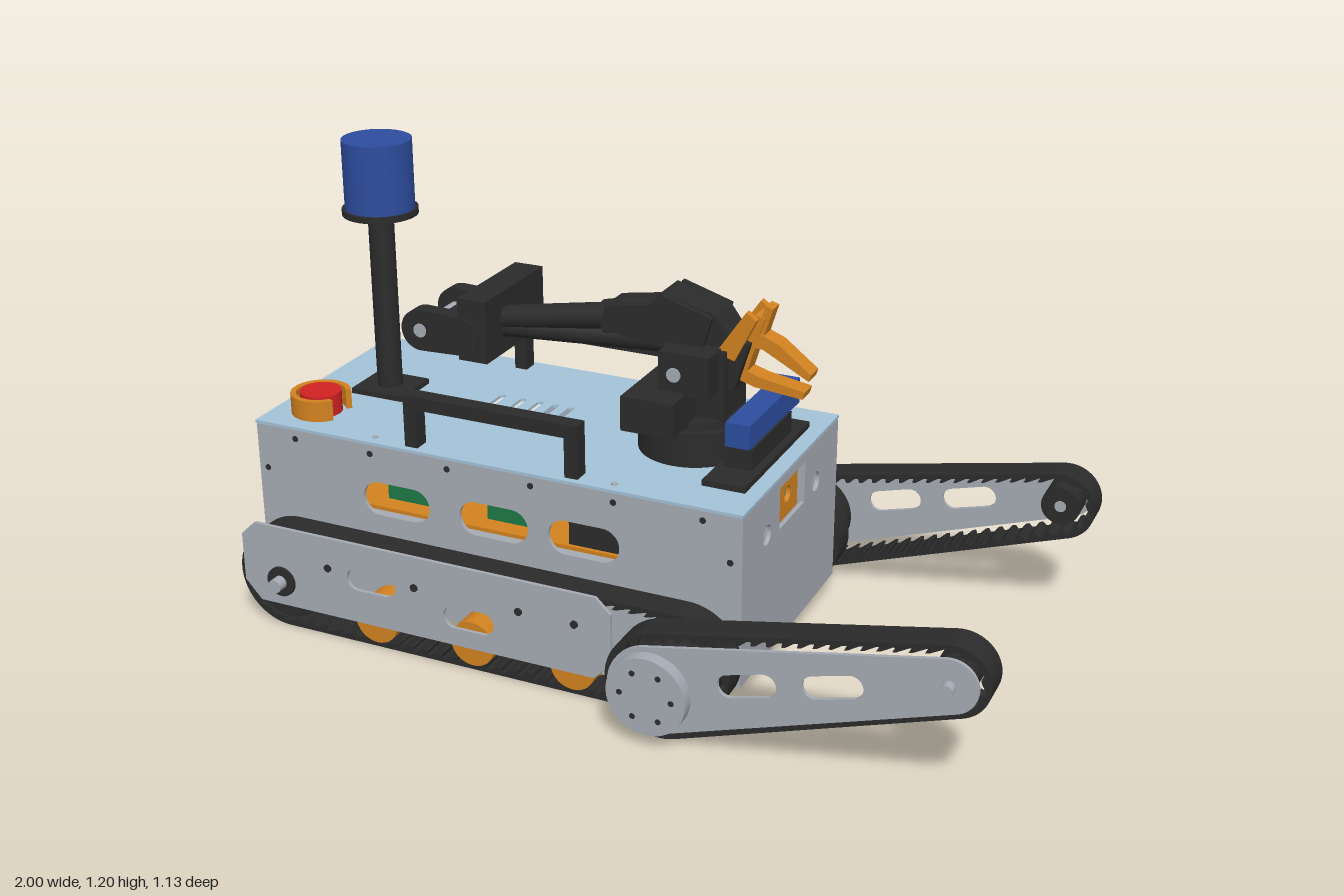
import * as THREE from 'three';

const colour = (name, hex) => {
  const m = new THREE.MeshStandardMaterial({ color: hex });
  m.name = name;
  return m;
};

export function createModel() {
  const grey = colour('grey metal', 0xa6aab3), lidBlue = colour('light blue lid', 0xa5c2d8);
  const black = colour('black', 0x2b2b2b), orange = colour('orange', 0xd28220);
  const blue = colour('blue', 0x2d4d9e), green = colour('circuit green', 0x1e7847);
  const red = colour('red', 0xd32222);
  const root = new THREE.Group();

  const add = (name, geo, mat, x = 0, y = 0, z = 0, parent = root) => {
    const m = new THREE.Mesh(geo, mat);
    m.name = name;
    m.position.set(x, y, z);
    parent.add(m);
    return m;
  };
  // Box given by its limits on each axis
  const box = (name, mat, x0, x1, y0, y1, z0, z1, parent = root) =>
    add(name, new THREE.BoxGeometry(x1 - x0, y1 - y0, z1 - z0), mat,
      (x0 + x1) / 2, (y0 + y1) / 2, (z0 + z1) / 2, parent);
  // Upright cylinder, and cylinder along z
  const post = (name, mat, r, x, y0, y1, z) =>
    add(name, new THREE.CylinderGeometry(r, r, y1 - y0, 40), mat, x, (y0 + y1) / 2, z);
  const axle = (name, mat, r, x, y, z0, z1, parent = root) =>
    add(name, new THREE.CylinderGeometry(r, r, Math.abs(z1 - z0), 32).rotateX(Math.PI / 2), mat, x, y, (z0 + z1) / 2, parent);
  const extrude = (shape, depth) =>
    new THREE.ExtrudeGeometry(shape, { depth, bevelEnabled: false, curveSegments: 16 });
  const poly = pts => new THREE.Shape(pts.map(p => new THREE.Vector2(...p)));
  const rect = (x, y, w, h) => poly([[x - w / 2, y - h / 2], [x + w / 2, y - h / 2], [x + w / 2, y + h / 2], [x - w / 2, y + h / 2]]);
  const disc = (x, y, r) => { const p = new THREE.Path(); p.absarc(x, y, r, 0, Math.PI * 2); return p; };
  const slot = (x, y, w, h, tilt = 0) => {
    const p = new THREE.Path(), r = h / 2, d = w / 2 - r;
    const cx = Math.cos(tilt) * d, cy = Math.sin(tilt) * d;
    p.absarc(x + cx, y + cy, r, tilt - Math.PI / 2, tilt + Math.PI / 2);
    p.absarc(x - cx, y - cy, r, tilt + Math.PI / 2, tilt + Math.PI * 1.5);
    p.closePath();
    return p;
  };
  // Outline wrapped round two wheels a and b given as [x, y, r], grown by g
  const wrap = (a, b, g = 0) => {
    const dx = b[0] - a[0], dy = b[1] - a[1], t = Math.atan2(dy, dx);
    const k = Math.acos((a[2] - b[2]) / Math.hypot(dx, dy)), s = new THREE.Shape();
    s.absarc(b[0], b[1], b[2] + g, t - k, t + k);
    s.absarc(a[0], a[1], a[2] + g, t + k, t - k + Math.PI * 2);
    s.closePath();
    return s;
  };
  // Belt ring with teeth on the inside
  const belt = (a, b, teeth, width) => {
    const s = wrap(a, b), n = teeth * 4;
    const high = wrap(a, b, -0.011).getSpacedPoints(n), low = wrap(a, b, -0.022).getSpacedPoints(n);
    const ring = [];
    for (let i = 0; i < n; i++) ring.push((i % 4 < 2 ? high : low)[i]);
    s.holes.push(new THREE.Path(ring));
    return extrude(s, width);
  };
  const mirrored = (name, geo, mat, s, z0, depth) => add(name, geo, mat, 0, 0, s > 0 ? z0 : -z0 - depth);

  // Hull: sheet-metal panels with openings
  box('hullFloor', grey, -0.98, 0.34, 0.062, 0.072, -0.315, 0.315);
  for (const s of [1, -1]) {
    const side = rect(-0.318, 0.287, 1.334, 0.45);
    for (const x of [-0.58, -0.305, -0.06]) side.holes.push(slot(x, 0.365, 0.19, 0.09));
    mirrored('hullSide', extrude(side, 0.01), grey, s, 0.31, 0.01);
    for (const x of [-0.87, -0.65, -0.43, -0.2, 0.02, 0.25]) axle('rivet', black, 0.008, x, 0.485, s * 0.315, s * 0.322);
    for (const x of [-0.96, 0.32]) axle('rivet', black, 0.008, x, 0.39, s * 0.315, s * 0.322);
  }
  const front = rect(0, 0.287, 0.64, 0.45);
  front.holes.push(rect(0, 0.43, 0.17, 0.11), disc(-0.165, 0.397, 0.026), disc(0.165, 0.397, 0.026));
  add('frontPanel', extrude(front, 0.01).rotateY(Math.PI / 2), grey, 0.34);
  const rear = rect(0, 0.287, 0.64, 0.45);
  for (const [z, y, w, h] of [[-0.25, 0.36, 0.05, 0.05], [-0.11, 0.36, 0.07, 0.06], [0, 0.41, 0.08, 0.07], [0.15, 0.37, 0.06, 0.06]])
    rear.holes.push(rect(-z, y, w, h));
  add('rearPanel', extrude(rear, 0.01).rotateY(Math.PI / 2), grey, -0.985);
  const lid = rect(-0.318, 0, 1.338, 0.645), vents = [-0.49, -0.43, -0.38, -0.335, -0.29];
  for (const x of vents) lid.holes.push(slot(x, 0, 0.165, 0.017, Math.PI / 2));
  add('lid', extrude(lid, 0.008).rotateX(-Math.PI / 2), lidBlue, 0, 0.51);
  for (const x of [-0.65, 0.01]) for (const z of [-0.29, 0.29]) post('lidScrew', grey, 0.008, x, 0.517, 0.521, z);

  // Electronics inside the hull
  box('shelf', orange, -0.85, 0.15, 0.295, 0.305, -0.25, 0.25);
  box('circuitBoard', green, -0.68, -0.51, 0.305, 0.355, -0.2, 0.2);
  box('circuitBoard', green, -0.39, -0.23, 0.305, 0.4, -0.2, 0.2);
  box('ventBoard', green, -0.54, -0.25, 0.45, 0.46, -0.12, 0.12);
  box('battery', black, -0.14, 0.03, 0.305, 0.39, -0.24, 0.24);
  box('cameraBoard', green, 0.3, 0.32, 0.375, 0.4, -0.085, 0.085);
  const mount = rect(0, 0.43, 0.135, 0.11);
  mount.holes.push(disc(0, 0.432, 0.021));
  add('cameraMount', extrude(mount, 0.012).rotateY(Math.PI / 2), orange, 0.325);

  // Tracks and flippers on both sides
  const mainA = [-0.862, 0.138, 0.138], mainB = [0.222, 0.138, 0.138];
  const flipA = [0.222, 0.138, 0.136], flipB = [0.912, 0.322, 0.088];
  const tilt = Math.atan2(0.184, 0.69);
  for (const s of [1, -1]) {
    mirrored('trackBelt', belt(mainA, mainB, 70, 0.075), black, s, 0.338, 0.075);
    const plate = poly([[-0.975, 0.12], [-0.93, 0.07], [0.02, 0.07], [0.065, 0.115], [0.065, 0.25], [0.025, 0.288], [-0.935, 0.288], [-0.975, 0.25]]);
    plate.holes.push(slot(-0.595, 0.19, 0.14, 0.06), slot(-0.32, 0.147, 0.14, 0.06));
    mirrored('trackPlate', extrude(plate, 0.01), grey, s, 0.424, 0.01);
    for (const w of [mainA, mainB]) axle('trackPulley', black, 0.113, w[0], w[1], s * 0.34, s * 0.41);
    axle('rearHub', black, 0.04, mainA[0], mainA[1], s * 0.41, s * 0.442);
    axle('rearAxle', grey, 0.018, mainA[0], mainA[1], s * 0.31, s * 0.47);
    for (const x of [-0.595, -0.32, -0.045]) {
      axle('roadWheel', orange, 0.06, x, 0.075, s * 0.335, s * 0.42);
      axle('wheelBoss', orange, 0.025, x, 0.075, s * 0.318, s * 0.428);
    }
    for (const x of [-0.72, -0.47, -0.18, -0.03]) {
      axle('standoff', grey, 0.01, x, 0.21, s * 0.315, s * 0.425);
      axle('plateBolt', black, 0.01, x, 0.205, s * 0.43, s * 0.438);
    }

    mirrored('flipperBelt', belt(flipA, flipB, 54, 0.08), black, s, 0.43, 0.08);
    const arm = wrap([0.215, 0.138, 0.112], [0.912, 0.322, 0.066]);
    arm.holes.push(slot(0.45, 0.208, 0.145, 0.058, tilt), slot(0.652, 0.255, 0.145, 0.058, tilt));
    mirrored('flipperPlate', extrude(arm, 0.01), grey, s, 0.522, 0.01);
    axle('flipperPulley', black, 0.111, 0.222, 0.138, s * 0.432, s * 0.508);
    axle('flipperTipPulley', black, 0.05, 0.912, 0.322, s * 0.432, s * 0.508);
    axle('flipperAxle', grey, 0.03, 0.222, 0.138, s * 0.31, s * 0.53);
    axle('flipperHub', grey, 0.1, 0.215, 0.138, s * 0.53, s * 0.565);
    for (let i = 0; i < 6; i++)
      axle('hubBolt', black, 0.007, 0.215 + 0.065 * Math.cos(i * Math.PI / 3), 0.138 + 0.065 * Math.sin(i * Math.PI / 3), s * 0.56, s * 0.567);
    axle('flipperTipAxle', grey, 0.015, 0.912, 0.322, s * 0.43, s * 0.555);

    // Carrying handle
    const grip = poly([[-0.555, 0.517], [-0.52, 0.517], [-0.52, 0.62], [-0.115, 0.62], [-0.115, 0.517], [-0.08, 0.517], [-0.08, 0.655], [-0.555, 0.655]]);
    mirrored('handle', extrude(grip, 0.042), black, s, 0.264, 0.042);
  }

  // Scanner mast
  box('mastBase', black, -0.86, -0.71, 0.517, 0.532, -0.07, 0.07);
  post('mast', black, 0.033, -0.785, 0.53, 1, 0);
  post('scannerFlange', black, 0.097, -0.785, 1, 1.016, 0);
  post('scanner', blue, 0.089, -0.785, 1.016, 1.195, 0);

  // Stop button in an open collar
  const collar = new THREE.Shape();
  collar.absarc(0, 0, 0.077, 0.6, Math.PI * 2 - 0.6);
  collar.absarc(0, 0, 0.062, Math.PI * 2 - 0.6, 0.6, true);
  add('buttonCollar', extrude(collar, 0.055).rotateX(-Math.PI / 2), orange, -0.867, 0.517, 0.2);
  post('stopButton', red, 0.053, -0.867, 0.517, 0.575, 0.2);

  // Front sensor
  box('sensorBase', black, 0.2, 0.31, 0.517, 0.533, -0.217, 0.212);
  box('sensorStand', black, 0.215, 0.29, 0.533, 0.588, -0.14, 0.12);
  box('sensor', blue, 0.222, 0.285, 0.588, 0.65, -0.135, 0.125);
  box('sensorEnd', blue, 0.22, 0.287, 0.588, 0.655, -0.2, -0.135);

  // Arm: turntable, shoulder, link and elbow
  post('turntable', black, 0.14, 0.09, 0.517, 0.605, 0);
  post('turntableTop', black, 0.12, 0.09, 0.605, 0.625, 0);
  box('shoulderMotor', black, -0.015, 0.122, 0.618, 0.706, -0.208, 0.205);
  box('shoulderBlock', black, 0.04, 0.195, 0.62, 0.8, -0.07, 0.07);
  box('shoulderSide', black, 0.05, 0.18, 0.7, 0.805, -0.12, 0.13);
  axle('shoulderCap', grey, 0.018, 0.09, 0.75, -0.124, 0.134);
  const strut = (name, r0, r1, x0, y0, x1, y1) => {
    const m = add(name, new THREE.CylinderGeometry(r1, r0, Math.hypot(x1 - x0, y1 - y0), 32), black, (x0 + x1) / 2, (y0 + y1) / 2);
    m.rotation.z = Math.atan2(y1 - y0, x1 - x0) - Math.PI / 2;
  };
  strut('lowerLink', 0.024, 0.03, -0.45, 0.745, 0.06, 0.785);
  strut('upperLink', 0.03, 0.034, -0.45, 0.77, -0.12, 0.825);
  strut('linkSleeve', 0.042, 0.05, -0.15, 0.818, 0.02, 0.85);
  box('elbowMotor', black, -0.51, -0.43, 0.682, 0.845, -0.2, 0.105);
  const fork = wrap([-0.617, 0.745, 0.054], [-0.5, 0.745, 0.05]);
  for (const z of [-0.115, 0.065]) add('elbowFork', extrude(fork, 0.045), black, 0, 0, z);
  box('elbowBridge', black, -0.58, -0.5, 0.71, 0.78, -0.07, 0.07);
  axle('elbowPin', grey, 0.018, -0.617, 0.745, -0.118, 0.113);

  // Wrist
  const wrist = poly([[-0.14, 0.8], [0.05, 0.78], [0.19, 0.76], [0.215, 0.81], [0.16, 0.885], [0.02, 0.92], [-0.01, 0.885], [-0.13, 0.865]]);
  add('wrist', extrude(wrist, 0.1), black, 0, 0, -0.05);
  const cheek = poly([[0.02, 0.8], [0.13, 0.78], [0.16, 0.88], [0.03, 0.92]]);
  for (const z of [-0.068, 0.054]) add('wristCheek', extrude(cheek, 0.014), black, 0, 0, z);

  // Gripper, pointing forward and slightly down
  const gripper = new THREE.Group();
  gripper.name = 'gripper';
  gripper.position.set(0.21, 0.8, 0);
  gripper.rotation.z = -0.3;
  root.add(gripper);
  box('gripperBody', black, -0.03, 0.03, -0.1, 0.03, -0.045, 0.045, gripper);
  for (const z of [-0.055, 0.037])
    add('gripperBracket', extrude(poly([[-0.04, -0.02], [0.01, -0.02], [0.03, 0.1], [0, 0.11]]), 0.018), orange, 0, 0, z, gripper);
  box('gripperPalm', orange, 0.015, 0.04, -0.07, 0.1, -0.025, 0.025, gripper);
  const finger = poly([[0, 0.01], [0.06, 0.025], [0.19, 0], [0.19, 0.018], [0.09, 0.055], [0.03, 0.06], [0, 0.04]]);
  add('upperFinger', extrude(finger, 0.05), orange, 0, 0, -0.025, gripper);
  const lower = poly([[0.02, -0.075], [0.07, -0.075], [0.19, -0.05], [0.19, -0.03], [0.08, -0.045], [0.02, -0.045]]);
  add('lowerFinger', extrude(lower, 0.05), orange, 0, 0, -0.025, gripper);
  box('fingerTab', orange, 0.03, 0.05, 0.05, 0.13, -0.02, 0.02, gripper);

  return root;
}
